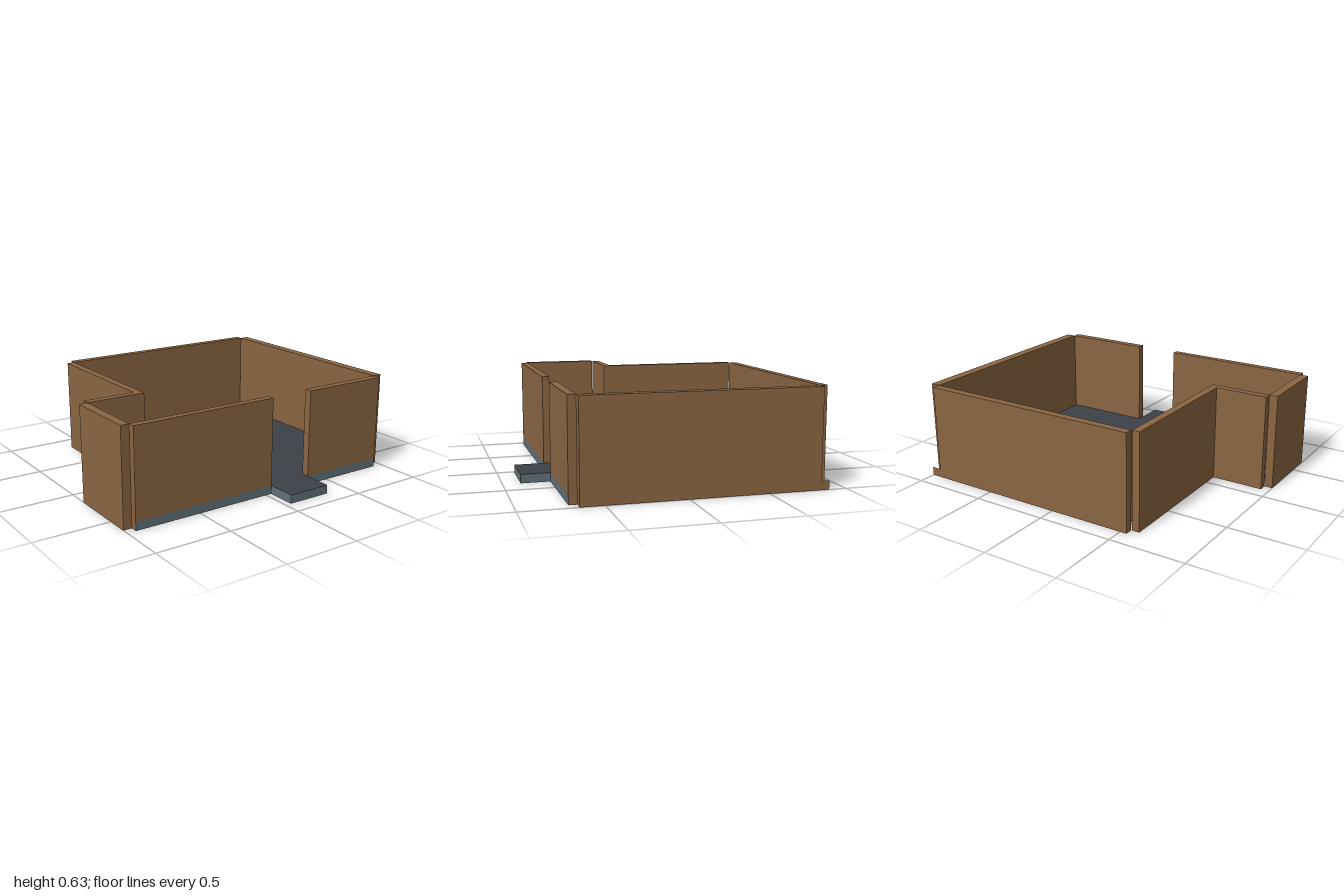
import * as THREE from 'three';

export function createModel() {
  const group = new THREE.Group();
  const material = (name, color) => {
    const m = new THREE.MeshStandardMaterial({ color });
    m.name = name;
    return m;
  };
  const wood = material('brown wood', 0x8b6542);
  const floorTone = material('dark slate floor', 0x3c4148);
  const edgeTone = material('blue grey edge', 0x607078);

  const wallTop = 0.63, floorTop = 0.057;

  const add = (name, geometry, mat) => {
    const mesh = new THREE.Mesh(geometry, mat);
    mesh.name = name;
    group.add(mesh);
    return mesh;
  };
  // Box given by its limits on each axis
  const block = (name, x0, x1, y0, y1, z0, z1, mat = wood) =>
    add(name, new THREE.BoxGeometry(x1 - x0, y1 - y0, z1 - z0), mat)
      .position.set((x0 + x1) / 2, (y0 + y1) / 2, (z0 + z1) / 2);

  // Full-height outer walls, leaving open notches at the corners
  block('backWall', -0.545, 0.935, 0, wallTop, -0.887, -0.835);
  block('leftWall', 0.935, 1, 0, wallTop, -0.835, 0.648);
  block('rightWall', -0.6, -0.55, 0, wallTop, -0.835, 0.095);
  block('alcoveBackWall', -0.945, -0.55, 0, wallTop, 0.095, 0.145);
  block('alcoveSideWall', -1, -0.945, 0, wallTop, 0.148, 0.648);

  // Front walls either side of the doorway, with a grey foundation face
  const foundation = [wood, wood, wood, wood, edgeTone, wood];
  for (const [name, x0, x1, z1] of [
    ['frontWallRight', -0.945, 0.04, 0.694],
    ['frontWallLeft', 0.335, 0.935, 0.7],
  ]) {
    block(name, x0, x1, floorTop, wallTop, 0.648, z1);
    block(name + 'Foundation', x0, x1, 0, floorTop, 0.648, z1, foundation);
  }

  // Doorstep running through the doorway
  block('doorstep', 0.04, 0.335, 0, floorTop, 0.648, 0.887,
    [edgeTone, edgeTone, floorTone, wood, edgeTone, edgeTone]);

  // L-shaped floor and its underside
  const outline = [
    [-0.945, 0.145], [-0.55, 0.145], [-0.55, -0.835],
    [0.935, -0.835], [0.935, 0.648], [-0.945, 0.648],
  ];
  const plan = (sign) => new THREE.ShapeGeometry(
    new THREE.Shape(outline.map(([x, z]) => new THREE.Vector2(x, sign * z))));
  add('floor', plan(-1).rotateX(-Math.PI / 2), floorTone).position.y = floorTop;
  add('underside', plan(1).rotateX(Math.PI / 2), wood);

  // Open-topped kerb at the back left corner
  const kerbBack = add('cornerKerbBack', new THREE.PlaneGeometry(0.065, floorTop), wood);
  kerbBack.rotation.y = Math.PI;
  kerbBack.position.set(0.9675, floorTop / 2, -0.887);
  const kerbSide = add('cornerKerbSide', new THREE.PlaneGeometry(0.052, floorTop), wood);
  kerbSide.rotation.y = Math.PI / 2;
  kerbSide.position.set(1, floorTop / 2, -0.861);
  const kerbBase = add('cornerKerbBase', new THREE.PlaneGeometry(0.065, 0.052), wood);
  kerbBase.rotation.x = Math.PI / 2;
  kerbBase.position.set(0.9675, 0, -0.861);

  return group;
}
